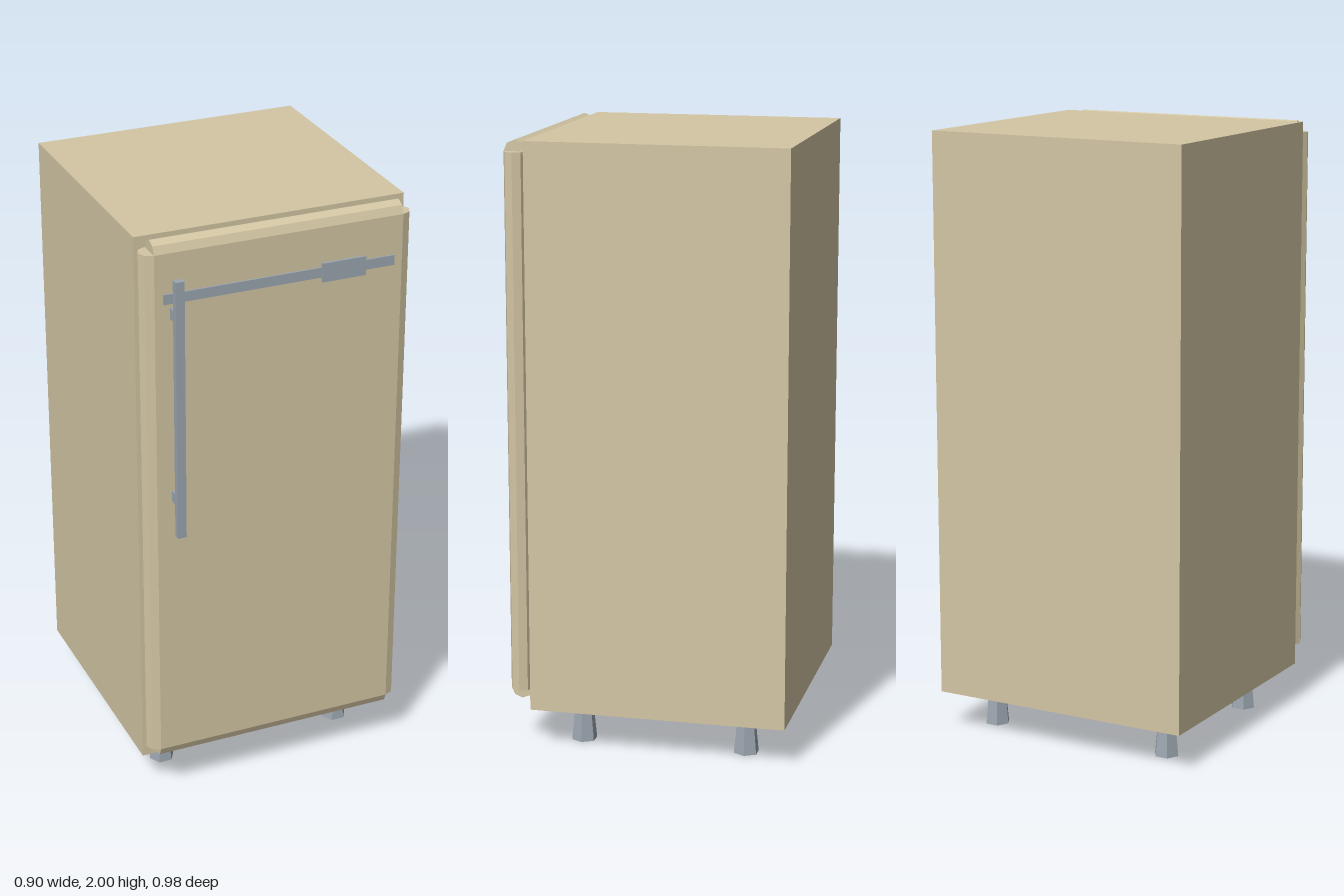
import * as THREE from 'three';

export function createModel() {
  const model = new THREE.Group();
  const cream = new THREE.MeshStandardMaterial({ color: 0xd3c6a4, flatShading: true });
  cream.name = 'creamEnamel';
  const steel = new THREE.MeshStandardMaterial({ color: 0x9ca6b0, flatShading: true });
  steel.name = 'steel';

  function add(parent, name, geometry, material, x, y, z) {
    const mesh = new THREE.Mesh(geometry, material);
    mesh.name = name;
    mesh.position.set(x, y, z);
    parent.add(mesh);
    return mesh;
  }
  // Box given by its lower and upper limits on each axis
  function box(parent, name, material, [x0, x1], [y0, y1], [z0, z1]) {
    return add(parent, name, new THREE.BoxGeometry(x1 - x0, y1 - y0, z1 - z0), material,
      (x0 + x1) / 2, (y0 + y1) / 2, (z0 + z1) / 2);
  }

  // Cabinet
  box(model, 'cabinet', cream, [-0.45, 0.45], [0.13, 2], [-0.49, 0.36]);

  // Door: a flat panel with a faceted half-round on each edge, open at the corners
  const door = new THREE.Group();
  door.name = 'door';
  model.add(door);
  const r = 0.037, halfW = 0.413, y0 = 0.193, y1 = 1.963, zMid = 0.397;
  const midY = (y0 + y1) / 2;
  box(door, 'doorPanel', cream, [-halfW, halfW], [y0, y1], [zMid - r, zMid + r]);
  const edges = [
    ['leftEdge', y1 - y0, halfW, midY, 0],
    ['topEdge', halfW * 2, 0, y1, Math.PI / 2],
    ['rightEdge', y1 - y0, -halfW, midY, Math.PI],
    ['bottomEdge', halfW * 2, 0, y0, -Math.PI / 2],
  ];
  for (const [name, length, x, y, turn] of edges) {
    const half = new THREE.CylinderGeometry(r, r, length, 4, 1, false, 0, Math.PI);
    add(door, name, half, cream, x, y, zMid).rotation.z = turn;
  }

  // Handle: upright bar on two short posts
  const handle = new THREE.Group();
  handle.name = 'handle';
  model.add(handle);
  box(handle, 'handleBar', steel, [-0.367, -0.338], [1.015, 1.89], [0.467, 0.49]);
  for (const y of [1.14, 1.768]) {
    box(handle, 'handlePost', steel, [-0.364, -0.341], [y - 0.018, y + 0.018], [0.43, 0.468]);
  }

  // Trim strip and its plate across the top of the door
  box(model, 'trimStrip', steel, [-0.385, 0.385], [1.8, 1.833], [0.432, 0.44]);
  box(model, 'trimPlate', steel, [0.137, 0.285], [1.785, 1.848], [0.436, 0.445]);

  // Six-sided feet, widening toward the floor
  for (const x of [-0.325, 0.325]) {
    for (const z of [0.21, -0.34]) {
      const foot = new THREE.CylinderGeometry(0.03, 0.043, 0.13, 6);
      add(model, 'foot', foot, steel, x, 0.065, z).rotation.y = Math.PI / 6;
    }
  }
  return model;
}
